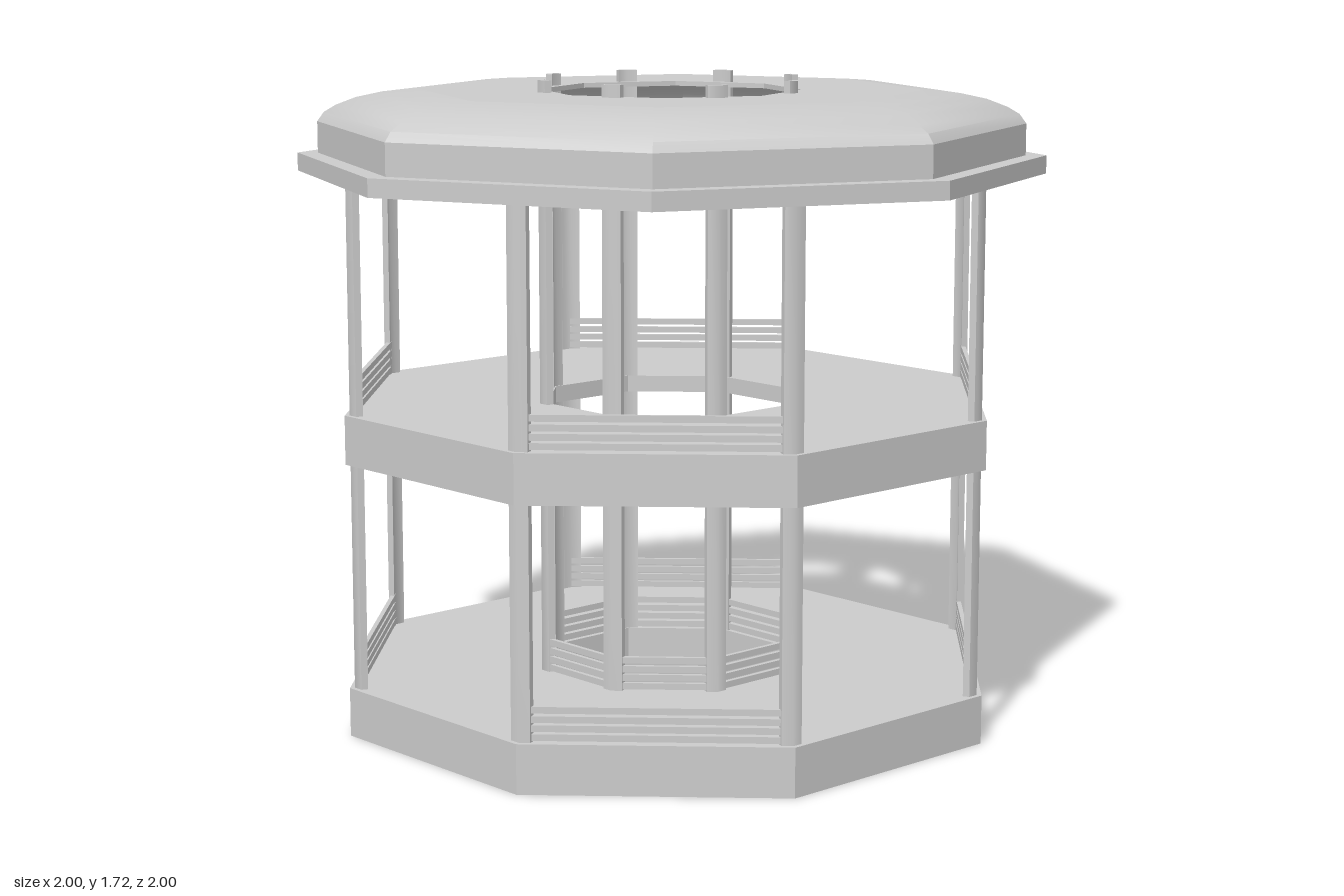
import * as THREE from 'three';
import { toCreasedNormals } from 'three/addons/utils/BufferGeometryUtils.js';

const SIDES = 8;
const STEP = (Math.PI * 2) / SIDES;
const HALF = STEP / 2;

export function createModel() {
  const model = new THREE.Group();
  const material = new THREE.MeshStandardMaterial({ color: 0xcccccc, side: THREE.DoubleSide });
  const oneSided = new THREE.MeshStandardMaterial({ color: 0xcccccc });

  function add(name, geometry, parent = model, surface = material) {
    const mesh = new THREE.Mesh(geometry, surface);
    mesh.name = name;
    parent.add(mesh);
    return mesh;
  }

  // Octagonal surface turned from a counter-clockwise [radius, height] profile
  function octagon(profile, start) {
    const points = profile.map(([r, y]) => new THREE.Vector2(r, y));
    return toCreasedNormals(new THREE.LatheGeometry(points, SIDES, start), 0.5);
  }
  const ring = (profile, start) => octagon([...profile, profile[0]], start);

  // Floors: flat sides face the axes, underside rises towards the stairwell hole
  const outer = 0.832 / Math.cos(HALF);
  const hole = 0.32 / Math.cos(HALF);
  function floor(name, y, rise) {
    add(name, ring([[outer, y], [outer, y + 0.13], [hole, y + 0.13], [hole, y + rise]], HALF));
  }
  floor('lowerFloor', 0, 0.115);
  floor('upperFloor', 0.732, 0.085);

  // Lining of the lower hole, seen only from inside it
  add('holeLining', octagon([[hole, 0.115], [hole, 0.035]], HALF), model, oneSided);

  // Shallow rails between the inner posts, just below the upper floor
  for (const z of [-0.33, 0.33]) {
    add('holeLip', new THREE.BoxGeometry(0.24, 0.02, 0.015)).position.set(0, 0.727, z);
  }

  // Roof: corners on the axes, a brim, a hollow rounded shell and a flat cap
  add('roofBrim', ring([[1, 1.468], [1, 1.516], [0.92, 1.516], [0.92, 1.468]], 0));
  add('roofShell', ring([
    [0.945, 1.51], [0.945, 1.6], [0.927, 1.625], [0.895, 1.644], [0.84, 1.665], [0.77, 1.68], [0.675, 1.688],
    [0.675, 1.675], [0.76, 1.667], [0.83, 1.651], [0.885, 1.63], [0.912, 1.613], [0.925, 1.595], [0.925, 1.51],
  ], 0));
  add('roofCap', ring([[0.675, 1.675], [0.675, 1.688], [0.35, 1.688], [0.35, 1.675]], 0));

  // Posts: bent strips wrapping each octagon corner
  function postRing(name, radius, bottom, top) {
    const group = new THREE.Group();
    group.name = name + 's';
    const leg = 0.029, thick = 0.018;
    const dx = leg * Math.sin(HALF), dy = leg * Math.cos(HALF);
    const shape = new THREE.Shape([
      [radius, 0], [radius - dx, dy], [radius - dx - thick, dy],
      [radius - thick, 0], [radius - dx - thick, -dy], [radius - dx, -dy],
    ].map(([x, y]) => new THREE.Vector2(x, y)));
    const strip = new THREE.ExtrudeGeometry(shape, { depth: top - bottom, bevelEnabled: false });
    const geometry = toCreasedNormals(strip.rotateX(-Math.PI / 2), 0.9);
    for (let i = 0; i < SIDES; i++) {
      const post = add(name, geometry, group);
      post.position.y = bottom;
      post.rotation.y = HALF + i * STEP;
    }
    model.add(group);
  }
  postRing('outerPost', 0.887, 0.12, 1.5);
  postRing('innerPost', 0.368, 0.09, 1.72);

  // Railings: four low bars per side
  function railings(name, apothem, y, sides) {
    const length = 2 * apothem * Math.tan(HALF);
    const bar = new THREE.BoxGeometry(length, 0.017, 0.012);
    for (const side of sides) {
      const panel = new THREE.Group();
      panel.name = name;
      panel.rotation.y = side * STEP;
      for (const h of [0.012, 0.035, 0.058, 0.082]) {
        add('railBar', bar, panel).position.set(0, y + h, apothem);
      }
      model.add(panel);
    }
  }
  const diagonals = [1, 3, 5, 7];
  railings('lowerOuterRailing', 0.808, 0.13, diagonals);
  railings('upperOuterRailing', 0.808, 0.863, diagonals);
  railings('lowerInnerRailing', 0.331, 0.13, [0, 1, 2, 3, 4, 5, 6, 7]);

  return model;
}
